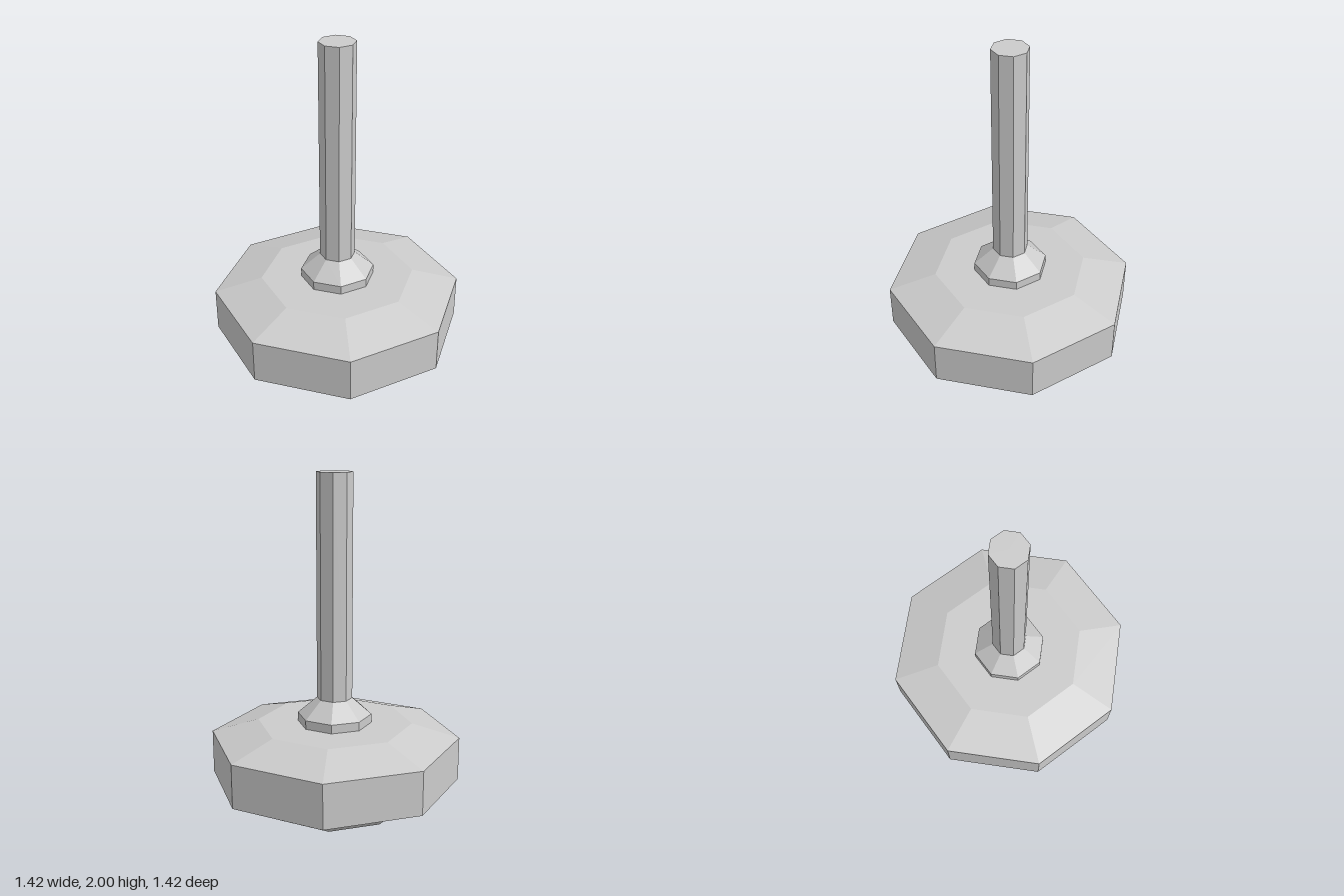
import * as THREE from 'three';

const SIDES = 8;

export function createModel() {
  const group = new THREE.Group();
  const material = new THREE.MeshStandardMaterial({ color: 0xcccccc, flatShading: true });

  // Octagonal turned part from a [radius, height] profile, running bottom to top
  const turned = (name, profile) => {
    const points = profile.map(([r, y]) => new THREE.Vector2(r, y));
    const mesh = new THREE.Mesh(new THREE.LatheGeometry(points, SIDES), material);
    mesh.name = name;
    group.add(mesh);
  };

  // Wide housing with a bevelled top and a recess underneath
  turned('housing', [
    [0, 0.37], [0.65, 0.37], [0.65, 0.27], [0.71, 0.27],
    [0.71, 0.52], [0.44, 0.6], [0, 0.6],
  ]);

  // Faceted lower half of a flattened sphere, set into the recess
  const bowl = [];
  for (let i = 0; i <= 4; i++) {
    const a = (i * Math.PI) / 8;
    bowl.push([0.545 * Math.sin(a), 0.34 * (1 - Math.cos(a))]);
  }
  bowl.push([0.545, 0.37]);
  turned('bowl', bowl);

  // Collar tapering into the pole
  turned('collar', [[0.21, 0.6], [0.21, 0.65], [0.1, 0.745]]);

  // Pole with a flat top
  turned('pole', [[0.1, 0.745], [0.1, 2], [0, 2]]);

  return group;
}
